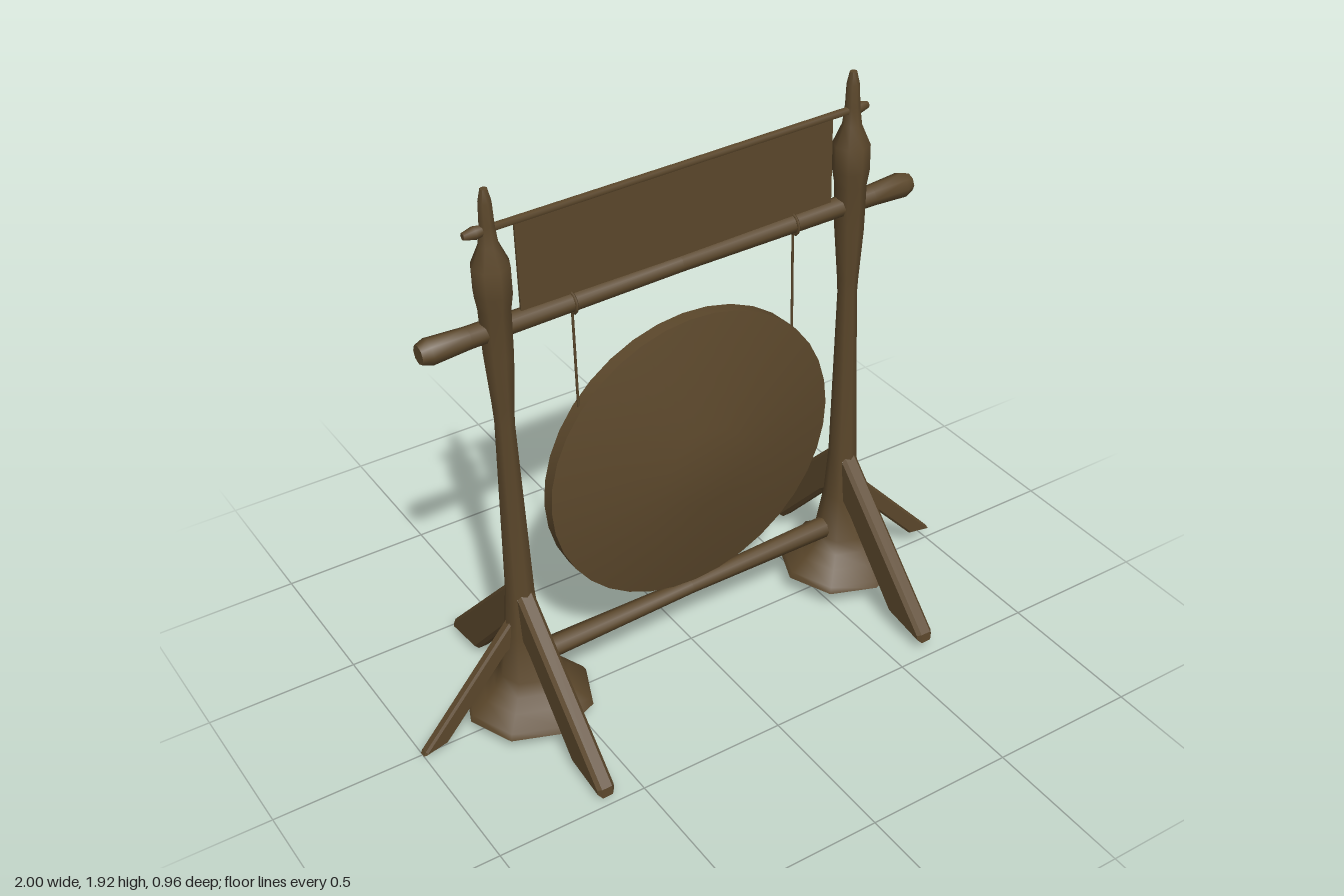
import * as THREE from 'three';
import { toCreasedNormals } from 'three/addons/utils/BufferGeometryUtils.js';

const wood = new THREE.MeshStandardMaterial({ color: 0x5b472b });
wood.name = 'dark brown';

function add(parent, name, geometry, x = 0, y = 0, z = 0) {
  const mesh = new THREE.Mesh(geometry, wood);
  mesh.name = name;
  mesh.position.set(x, y, z);
  parent.add(mesh);
  return mesh;
}

// Turned solid around y from [radius, height] pairs, bottom to top
function turned(profile, sides, crease = 0.9) {
  const points = profile.map(([r, y]) => new THREE.Vector2(r, y));
  return toCreasedNormals(new THREE.LatheGeometry(points, sides), crease);
}

// Turned bar lying along x, mirrored about its middle; pairs run from the middle to the tip
function bar(half, sides) {
  const left = half.slice().reverse().map(([r, x]) => [r, -x]);
  return turned([...left, ...half], sides).rotateZ(-Math.PI / 2);
}

// Slanted bracing leg: outline in (outward, up), with bevelled sides
function leg(outline, width) {
  const bevel = width * 0.2;
  const shape = new THREE.Shape(outline.map(([x, y]) => new THREE.Vector2(x, y)));
  const depth = width - 2 * bevel;
  return new THREE.ExtrudeGeometry(shape, {
    depth, bevelEnabled: true, bevelThickness: bevel,
    bevelSize: bevel, bevelOffset: -bevel, bevelSegments: 1,
  }).translate(0, 0, -depth / 2);
}

export function createModel() {
  const model = new THREE.Group();
  model.name = 'gongStand';
  // The whole stand leans slightly to one side
  const stand = new THREE.Group();
  stand.name = 'leaningStand';
  stand.rotation.z = 0.024;
  model.add(stand);

  // Posts with flared feet and pointed finials
  const postGeometry = turned([
    [0, 0.075], [0.21, 0.072], [0.2, 0.092], [0.15, 0.13], [0.115, 0.165], [0.088, 0.2],
    [0.06, 0.36], [0.047, 0.52], [0.031, 1.14], [0.034, 1.2], [0.046, 1.37],
    [0.05, 1.53], [0.058, 1.58], [0.058, 1.665], [0.03, 1.73], [0.023, 1.79],
    [0.02, 1.86], [0.011, 1.9], [0, 1.903],
  ], 8);
  const longLeg = leg([[0, 0.55], [0, 0.38], [0.08, 0.31], [0.31, 0.052],
    [0.478, 0.028], [0.475, 0.06], [0.05, 0.51]].reverse(), 0.058);
  const shortLeg = leg([[0, 0.46], [0, 0.34], [0.07, 0.3], [0.3, 0.042],
    [0.385, 0.026], [0.378, 0.04], [0.05, 0.41]].reverse(), 0.034);

  for (const side of [-1, 1]) {
    const post = new THREE.Group();
    post.name = side > 0 ? 'leftPost' : 'rightPost';
    post.position.x = side * 0.615;
    stand.add(post);
    add(post, 'postShaft', postGeometry);
    add(post, 'frontLeg', longLeg).rotation.y = -Math.PI / 2;
    add(post, 'backLeg', longLeg).rotation.y = Math.PI / 2;
    add(post, 'outerLeg', shortLeg).rotation.y = side > 0 ? 0 : Math.PI;
  }

  // Cross bars
  add(stand, 'mainBeam', bar([[0.028, 0], [0.034, 0.7], [0.041, 0.82], [0.03, 0.85], [0, 0.85]], 8), -0.005, 1.459, -0.003);
  add(stand, 'topRod', bar([[0.011, 0], [0.012, 0.6], [0.02, 0.645], [0.011, 0.68], [0, 0.68]], 8), -0.01, 1.777);
  add(stand, 'bottomBar', bar([[0.027, 0], [0.036, 0.54], [0, 0.54]], 8), 0, 0.232);

  // Panel stretched between the beam and the top rod
  add(stand, 'bannerPanel', new THREE.BoxGeometry(1.075, 0.31, 0.008), 0.003, 1.622);

  // Gong: shallow cone on each face with a flat centre
  const gong = turned([
    [0, -0.102], [0.14, -0.102], [0.51, -0.022], [0.51, 0.022], [0.14, 0.102], [0, 0.102],
  ], 36, 0.5).rotateX(Math.PI / 2);
  add(stand, 'gongDisc', gong, 0.013, 0.77).scale.y = 0.98;

  // Cords with their knots behind the beam
  for (const side of [-1, 1]) {
    const x = 0.015 + side * 0.386;
    add(stand, 'cord', new THREE.CylinderGeometry(0.004, 0.004, 0.4, 6), x, 1.26);
    const loop = new THREE.TorusGeometry(0.034, 0.005, 5, 12).rotateY(Math.PI / 2);
    add(stand, 'cordLoop', loop, x, 1.457, -0.003);
    add(stand, 'cordKnot', new THREE.SphereGeometry(0.012, 8, 6), x, 1.457, -0.034);
  }
  return model;
}
